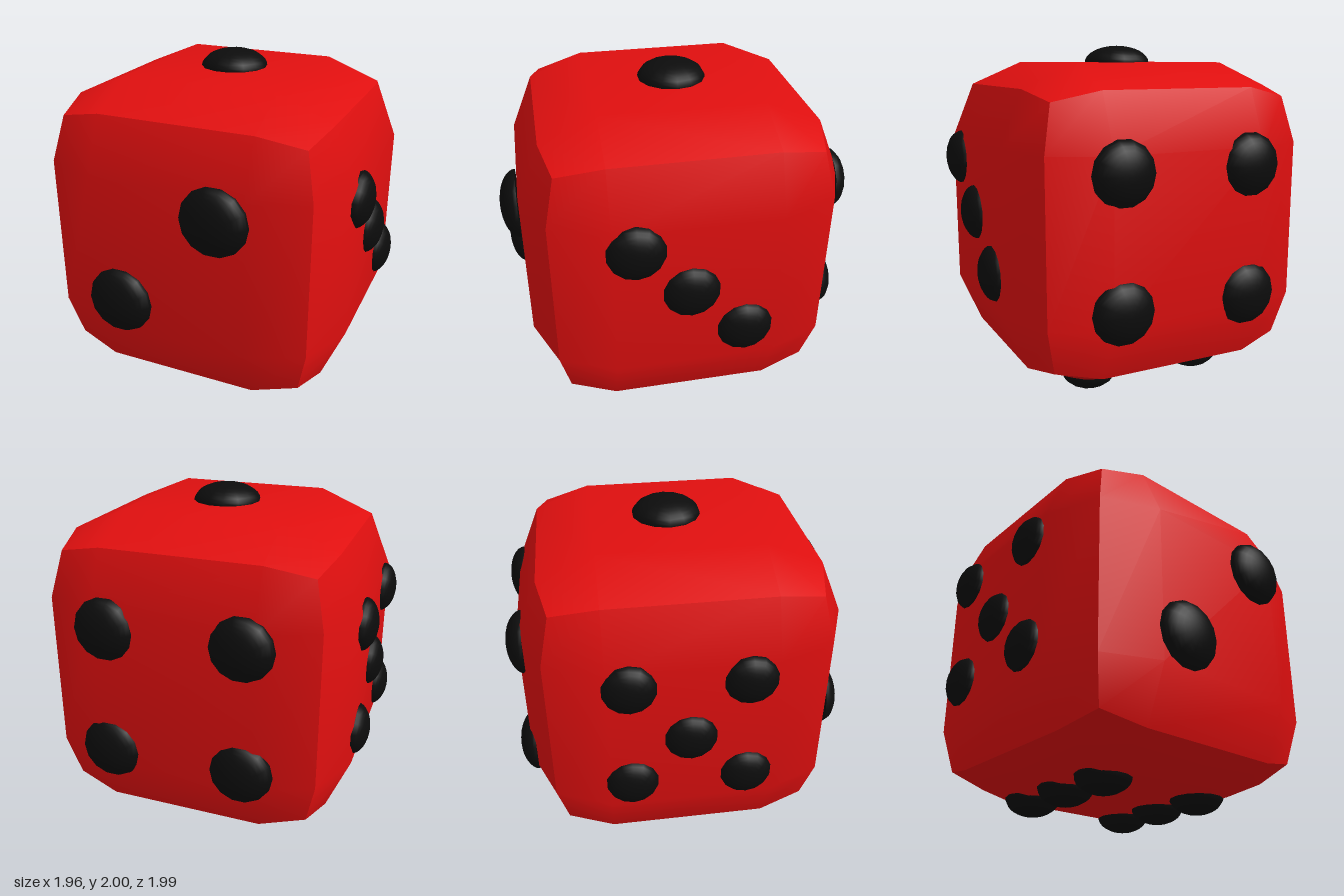
import * as THREE from 'three';
import { mergeGeometries } from 'three/addons/utils/BufferGeometryUtils.js';

const red = new THREE.MeshStandardMaterial({ color: 0xe00f0f });
const black = new THREE.MeshStandardMaterial({ color: 0x0c0c0c });

// Cube with 3 x 3 patches per side, bulged so faces puff out and corners pull in
function bodyGeometry() {
  const geo = new THREE.BoxGeometry(2, 2, 2, 3, 3, 3);
  const pos = geo.attributes.position;
  const reach = [0, 0.905, 0.772, 0.715]; // by number of outer coordinates: face, edge, corner
  for (let i = 0; i < pos.count; i++) {
    const p = [pos.getX(i), pos.getY(i), pos.getZ(i)];
    const outer = p.filter((v) => Math.abs(v) > 0.9).length;
    const q = p.map((v) => Math.sign(v) * (Math.abs(v) > 0.9 ? reach[outer] : 0.455));
    pos.setXYZ(i, ...q);
  }
  geo.computeVertexNormals(); // sides share no vertices, so the cube edges stay sharp
  return geo;
}

// Flattened dome with a closed base, pointing along +y
function domeGeometry() {
  const dome = new THREE.SphereGeometry(1, 14, 8, 0, Math.PI * 2, 0, Math.PI / 2);
  const base = new THREE.CircleGeometry(1, 14).rotateX(Math.PI / 2);
  return mergeGeometries([dome, base]);
}

// Pips per side: outward normal, radius, height and base centres
const sides = [
  { name: 'topPip', normal: [0, 1, 0], r: 0.195, h: 0.1, at: [[0, 1.9, -0.045]] },
  { name: 'frontPip', normal: [0, 0, 1], r: 0.195, h: 0.1, at: [[0.29, 1.33, 0.89], [-0.295, 0.73, 0.89]] },
  {
    name: 'leftPip', normal: [1, 0, 0], r: 0.162, h: 0.092,
    at: [[0.885, 1.33, 0.31], [0.885, 1.04, 0.015], [0.885, 0.745, -0.295]],
  },
  {
    name: 'backPip', normal: [0, 0, -1], r: 0.18, h: 0.1,
    at: [-0.385, 0.385].flatMap((x) => [1.355, 0.625].map((y) => [x, y, -0.895])),
  },
  {
    name: 'rightPip', normal: [-1, 0, 0], r: 0.148, h: 0.085,
    at: [[-0.895, 1.355, -0.355], [-0.895, 1.355, 0.285], [-0.895, 1, -0.03],
      [-0.895, 0.705, -0.355], [-0.895, 0.705, 0.285]],
  },
  {
    name: 'bottomPip', normal: [0, -1, 0], r: 0.163, h: 0.108,
    at: [-0.35, 0.36].flatMap((x) => [0.28, -0.06, -0.39].map((z) => [x, 0.112, z])),
  },
];

export function createModel() {
  const group = new THREE.Group();
  group.name = 'die';

  const body = new THREE.Mesh(bodyGeometry(), red);
  body.name = 'body';
  body.position.set(-0.003, 0.997, -0.02);
  group.add(body);

  const dome = domeGeometry();
  const up = new THREE.Vector3(0, 1, 0);
  for (const { name, normal, r, h, at } of sides) {
    const side = new THREE.Group();
    side.name = name + 's';
    for (const centre of at) {
      const pip = new THREE.Mesh(dome, black);
      pip.name = name;
      pip.position.set(...centre);
      pip.scale.set(r, h, r);
      pip.quaternion.setFromUnitVectors(up, new THREE.Vector3(...normal));
      side.add(pip);
    }
    group.add(side);
  }
  return group;
}
